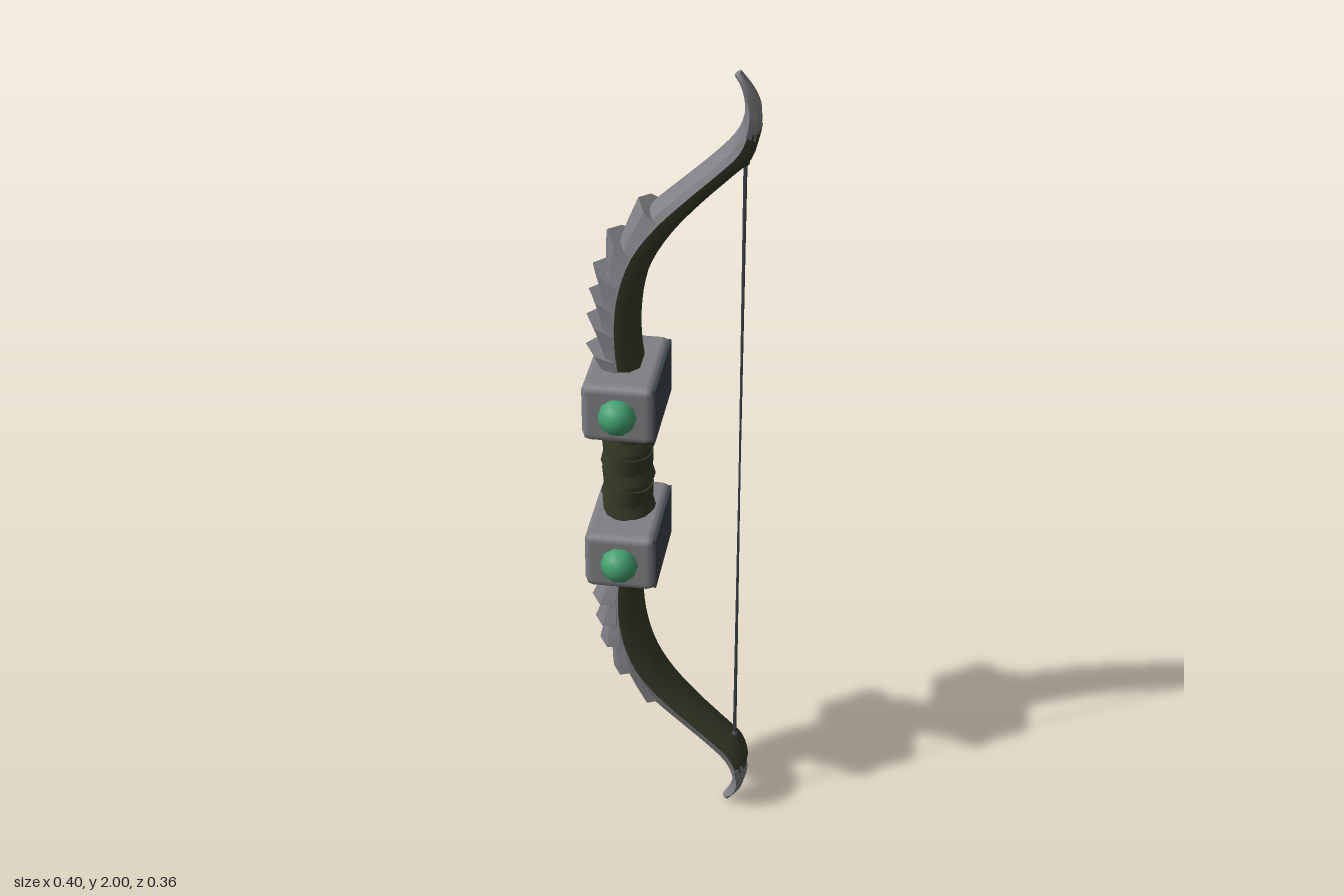
import * as THREE from 'three';
import { toCreasedNormals } from 'three/addons/utils/BufferGeometryUtils.js';
import { RoundedBoxGeometry } from 'three/addons/geometries/RoundedBoxGeometry.js';

const material = (name, color) => {
  const m = new THREE.MeshStandardMaterial({ color });
  m.name = name;
  return m;
};

// Limb stations: outer x, outer y, inner x, inner y, half width
const STATIONS = [
  [-0.14, 1.2, -0.05, 1.2, 0.066], [-0.155, 1.32, -0.068, 1.31, 0.069],
  [-0.157, 1.42, -0.07, 1.39, 0.069], [-0.145, 1.5, -0.06, 1.47, 0.068],
  [-0.11, 1.59, -0.035, 1.55, 0.066], [-0.05, 1.665, 0.01, 1.625, 0.063],
  [0.025, 1.735, 0.075, 1.7, 0.06], [0.095, 1.8, 0.14, 1.765, 0.058],
  [0.14, 1.85, 0.183, 1.81, 0.057], [0.16, 1.89, 0.2, 1.87, 0.056],
  [0.165, 1.93, 0.2, 1.91, 0.048], [0.155, 1.97, 0.185, 1.95, 0.034],
  [0.14, 1.99, 0.155, 2.0, 0.012],
];
const LAST = STATIONS.length - 1;
const outerCurve = new THREE.CatmullRomCurve3(STATIONS.map((s) => new THREE.Vector3(s[0], s[1], s[4])));
const innerCurve = new THREE.CatmullRomCurve3(STATIONS.map((s) => new THREE.Vector3(s[2], s[3], 0)));

// Places a section of [depth, width] pairs across the limb; lift pushes its outer edge out
function ring(station, section, lift = 0, widen = 1) {
  const o = outerCurve.getPoint(station / LAST);
  const i = innerCurve.getPoint(station / LAST);
  const w = o.z * widen;
  o.z = 0;
  const out = o.clone().sub(i).normalize();
  return section.map(([depth, side]) => {
    const p = o.clone().lerp(i, depth).addScaledVector(out, lift * Math.max(0, 1 - depth * 2));
    p.z = side * w;
    return p;
  });
}

// Skins a list of rings and closes both ends
function loft(rings, crease) {
  const n = rings[0].length;
  const index = [];
  for (let r = 0; r < rings.length - 1; r++) {
    for (let j = 0; j < n; j++) {
      const a = r * n + j, b = r * n + (j + 1) % n;
      index.push(a, b, b + n, a, b + n, a + n);
    }
  }
  const end = (rings.length - 1) * n;
  for (let j = 1; j < n - 1; j++) index.push(0, j + 1, j, end, end + j, end + j + 1);
  const g = new THREE.BufferGeometry().setFromPoints(rings.flat());
  g.setIndex(index);
  return toCreasedNormals(g, crease);
}

const range = (from, to, count) =>
  Array.from({ length: count + 1 }, (_, k) => from + (to - from) * k / count);

const WOOD = [[0.4, 0.94], [0.75, 0.88], [1, 0.5], [1, -0.5], [0.75, -0.88], [0.4, -0.94]];
const SHELL = [[0.46, 1], [0.46, -1], [0.2, -0.86], [0.04, -0.4], [0, 0], [0.04, 0.4], [0.2, 0.86]];
const SCALE = [[0.44, 1], [0.44, -1], [0.18, -0.8], [0, 0], [0.18, 0.8]];
const TIP = [[0.4, 1], [0.85, 0.8], [1, 0], [0.85, -0.8], [0.4, -1], [0.04, -0.45], [0, 0], [0.04, 0.45]];
// Scales on the back of each limb: start station, end station, height
const SCALES = [
  [0.2, 0.9, 0.042], [0.8, 1.6, 0.036], [1.5, 2.3, 0.033],
  [2.2, 3.1, 0.035], [3, 4, 0.036], [4, 5.1, 0.032],
];

export function createModel() {
  const steel = material('grey metal', 0x7f7f84);
  const olive = material('dark olive wrap', 0x363b27);
  const emerald = material('emerald gem', 0x43a070);
  const slate = material('dark slate', 0x3d434b);

  const model = new THREE.Group();
  model.name = 'bow';
  const add = (parent, name, geometry, mat, x = 0, y = 0, z = 0) => {
    const mesh = new THREE.Mesh(geometry, mat);
    mesh.name = name;
    mesh.position.set(x, y, z);
    parent.add(mesh);
    return mesh;
  };

  // Half of the bow, turned over for the lower half
  const buildHalf = (name) => {
    const half = new THREE.Group();
    half.name = name;
    model.add(half);

    // Limb: inner wood, outer metal shell, hooked tip
    add(half, 'limbWood', loft(range(0, 9, 27).map((t) => ring(t, WOOD)), 0.9), olive);
    add(half, 'limbShell', loft(range(0, 9.3, 28).map((t) => ring(t, SHELL)), 0.7), steel);
    add(half, 'limbTip', loft(range(8.75, LAST, 12).map((t) => ring(t, TIP, 0, 1.02)), 0.7), steel);

    // Overlapping ridged scales
    SCALES.forEach(([from, to, height]) => {
      const rings = range(0, 1, 4).map((k) =>
        ring(from + (to - from) * k, SCALE, height * Math.pow(k, 1.2), 0.98 + 0.05 * k));
      add(half, 'limbScale', loft(rings, 0.6), steel);
    });

    // Chamfered clamp block with a dark face towards the string
    add(half, 'clampBlock', new RoundedBoxGeometry(0.17, 0.148, 0.274, 1, 0.02), steel, -0.101, 1.203, 0);
    add(half, 'clampFace', new THREE.BoxGeometry(0.008, 0.134, 0.25), slate, -0.018, 1.203, 0);

    // Gems on both ends of the block
    for (const side of [1, -1]) {
      const gem = add(half, 'gem', new THREE.SphereGeometry(0.045, 10, 8), emerald, -0.1, 1.203, side * 0.137);
      gem.rotation.x = side * Math.PI / 2;
    }

    // Half of the string, thinner at the middle, with a knot
    add(half, 'string', new THREE.CylinderGeometry(0.005, 0.0025, 0.83, 6), slate, 0.167, 1.415, 0);
    add(half, 'stringKnot', new THREE.SphereGeometry(0.01, 6, 5), slate, 0.167, 1.79, 0);
    return half;
  };

  buildHalf('upperHalf');
  const lower = buildHalf('lowerHalf');
  lower.rotation.x = Math.PI;
  lower.position.y = 2;

  // Grip core and its tilted wraps
  add(model, 'grip', new THREE.CylinderGeometry(0.058, 0.058, 0.3, 14), olive, -0.1, 1, 0);
  for (let k = 0; k < 6; k++) {
    const wrap = add(model, 'gripWrap', new THREE.CylinderGeometry(0.059, 0.063, 0.044, 14), olive, -0.1, 0.89 + k * 0.044, 0);
    wrap.rotation.z = k % 2 ? -0.14 : 0.2;
    wrap.rotation.x = k % 2 ? 0.1 : -0.08;
  }

  return model;
}
